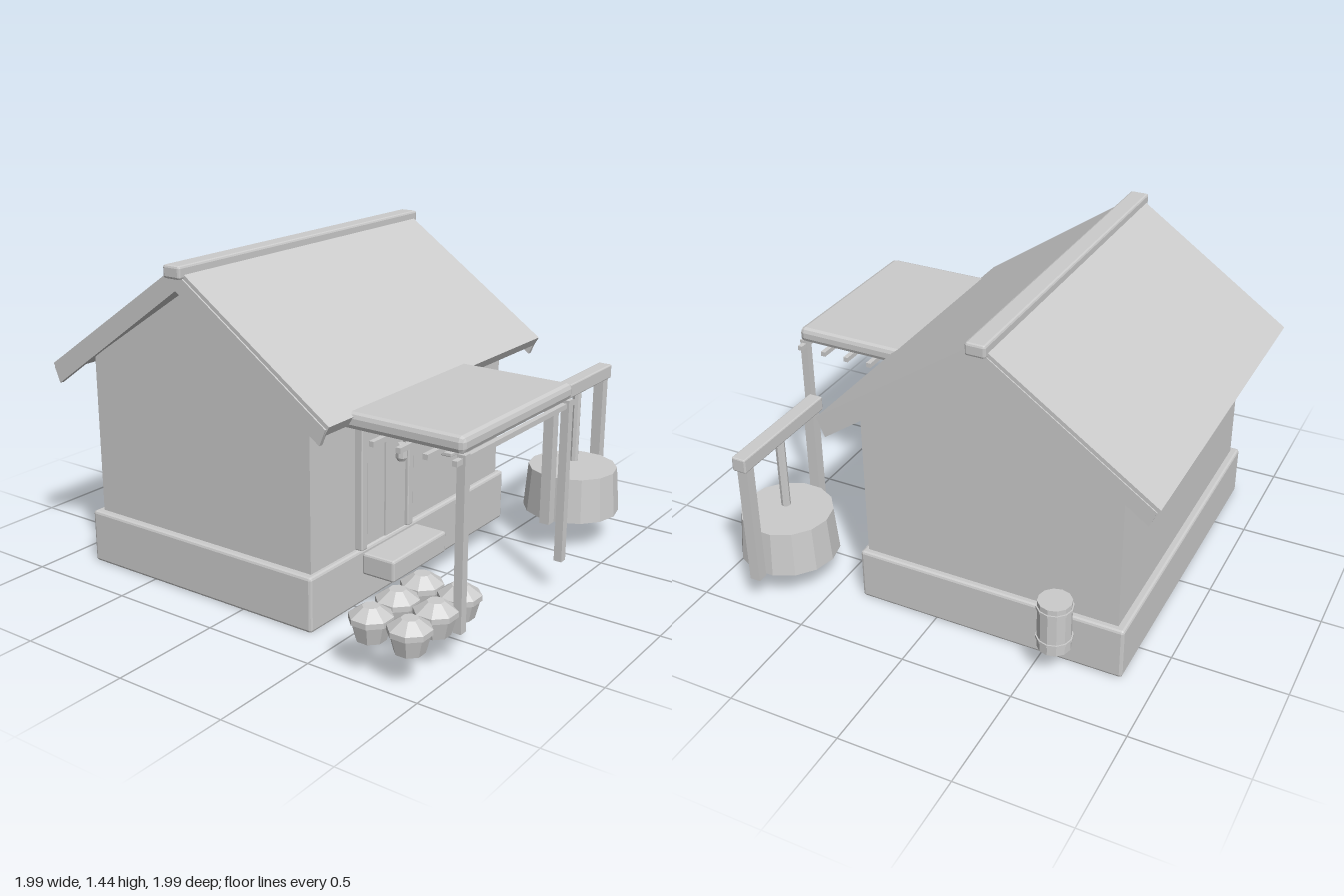
import * as THREE from 'three';
import { RoundedBoxGeometry } from 'three/addons/geometries/RoundedBoxGeometry.js';

export function createModel() {
  const model = new THREE.Group();
  model.name = 'cottage';
  const grey = new THREE.MeshStandardMaterial({ color: 0xcccccc, flatShading: true });
  grey.name = 'pale grey';

  function add(name, geometry, x = 0, y = 0, z = 0, parent = model) {
    const mesh = new THREE.Mesh(geometry, grey);
    mesh.name = name;
    mesh.position.set(x, y, z);
    parent.add(mesh);
    return mesh;
  }
  // Box given by its limits on each axis; bevel > 0 softens the edges
  function block(name, x0, x1, y0, y1, z0, z1, bevel = 0, parent = model) {
    const size = [x1 - x0, y1 - y0, z1 - z0];
    const g = bevel ? new RoundedBoxGeometry(...size, 1, bevel) : new THREE.BoxGeometry(...size);
    return add(name, g, (x0 + x1) / 2, (y0 + y1) / 2, (z0 + z1) / 2, parent);
  }
  // Outline in (z, y) extruded along x
  function prism(name, points, x0, x1) {
    const shape = new THREE.Shape(points.map(([z, y]) => new THREE.Vector2(-z, y)));
    const g = new THREE.ExtrudeGeometry(shape, { depth: x1 - x0, bevelEnabled: false });
    g.rotateY(Math.PI / 2);
    return add(name, g, x0);
  }

  // House body
  block('foundation', -0.805, 0.71, 0.005, 0.245, -0.86, 0.365, 0.012);
  block('walls', -0.77, 0.68, 0.24, 0.975, -0.825, 0.34);
  prism('gable', [[0.3, 0.975], [-0.245, 1.335], [-0.79, 0.975]], -0.785, 0.695);

  // Roof slopes with deeper boards along both gable ends
  const ridgeZ = -0.248, slope = 0.69;
  for (const side of [1, -1]) {
    const at = (d, y) => [ridgeZ + side * d, y];
    const name = side > 0 ? 'front' : 'back';
    const eave = 0.917, apex = eave + 0.748 * slope;
    prism(name + 'RoofSlope', [at(0, apex), at(0.748, eave), at(0.725, 0.878), at(0, apex - 0.055)], -0.855, 0.765);
    for (const x of [-0.862, 0.75]) {
      prism(name + 'GableBoard', [at(0, apex - 0.02), at(0.735, 0.905), at(0.706, 0.836), at(0, 1.335)], x, x + 0.02);
    }
  }
  block('ridgeCap', -0.883, 0.79, 1.385, 1.44, -0.292, -0.205, 0.01);

  // Porch awning, poles and posts
  block('awning', -0.705, 0.155, 0.862, 0.932, 0.35, 0.99, 0.022);
  for (const z of [0.61, 0.73, 0.85, 0.975]) {
    block('awningPole', -0.74, 0.18, 0.83, 0.852, z - 0.011, z + 0.011);
  }
  for (const x of [-0.682, 0.127]) {
    block('porchPost', x - 0.018, x + 0.018, 0.15, 0.865, 0.96, 0.996);
  }

  // Hanging lanterns
  [[-0.65, 0.687], [-0.49, 0.612], [-0.333, 0.51], [-0.178, 0.4]].forEach(([x, z]) => {
    const profile = [[0, 0], [0.015, 0], [0.023, 0.014], [0.023, 0.055], [0.015, 0.07], [0, 0.07]];
    add('lantern', new THREE.LatheGeometry(profile.map(p => new THREE.Vector2(...p)), 8), x, 0.767, z);
  });

  // Door
  for (const x of [-0.45, -0.11]) {
    block('doorJamb', x - 0.02, x + 0.02, 0.245, 0.85, 0.33, 0.375, 0.005);
  }
  block('doorLintel', -0.47, -0.09, 0.83, 0.87, 0.33, 0.375);
  block('leftDoorPanel', -0.43, -0.24, 0.245, 0.83, 0.33, 0.35);
  block('rightDoorPanel', -0.275, -0.13, 0.245, 0.83, 0.33, 0.358);
  block('doorStep', -0.48, -0.08, 0.15, 0.245, 0.382, 0.54, 0.01);

  // Window
  for (const x of [0.222, 0.432]) {
    block('windowJamb', x - 0.016, x + 0.016, 0.48, 0.71, 0.33, 0.375, 0.004);
  }
  block('windowLintel', 0.2, 0.455, 0.7, 0.725, 0.33, 0.38, 0.004);
  block('windowSill', 0.185, 0.47, 0.47, 0.49, 0.33, 0.393, 0.004);
  block('windowPane', 0.238, 0.416, 0.49, 0.7, 0.33, 0.345);
  block('windowShutter', 0.145, 0.205, 0.5, 0.7, 0.33, 0.352);
  block('windowShutter', 0.45, 0.55, 0.5, 0.7, 0.33, 0.352);

  // Well with a crossbar on two posts
  const well = new THREE.Group();
  well.name = 'well';
  model.add(well);
  add('wellTub', new THREE.CylinderGeometry(0.203, 0.22, 0.205, 14), 0.706, 0.2525, 0.735, well);
  for (const x of [0.464, 0.954]) {
    block('wellPost', x - 0.024, x + 0.024, 0.15, 0.72, 0.713, 0.761, 0, well);
  }
  block('wellCrossbar', 0.418, 0.995, 0.715, 0.78, 0.705, 0.77, 0.006, well);
  add('wellPole', new THREE.CylinderGeometry(0.021, 0.021, 0.34, 8), 0.709, 0.55, 0.737, well);

  // Barrel by the side wall
  add('barrel', new THREE.CylinderGeometry(0.072, 0.072, 0.23, 12), 0.793, 0.265, -0.595);
  for (const y of [0.2, 0.35]) {
    add('barrelHoop', new THREE.CylinderGeometry(0.078, 0.078, 0.012, 12), 0.793, y, -0.595);
  }

  // Two rows of lidded jars
  const jar = [[0, 0.15], [0.061, 0.15], [0.08, 0.222], [0.088, 0.225], [0.088, 0.247], [0.034, 0.285], [0, 0.285]];
  const jarGeometry = new THREE.LatheGeometry(jar.map(p => new THREE.Vector2(...p)), 8);
  jarGeometry.rotateY(Math.PI / 8);
  for (const x of [-0.915, -0.74, -0.568]) {
    for (const z of [0.735, 0.908]) add('jar', jarGeometry, x, 0, z);
  }
  return model;
}
